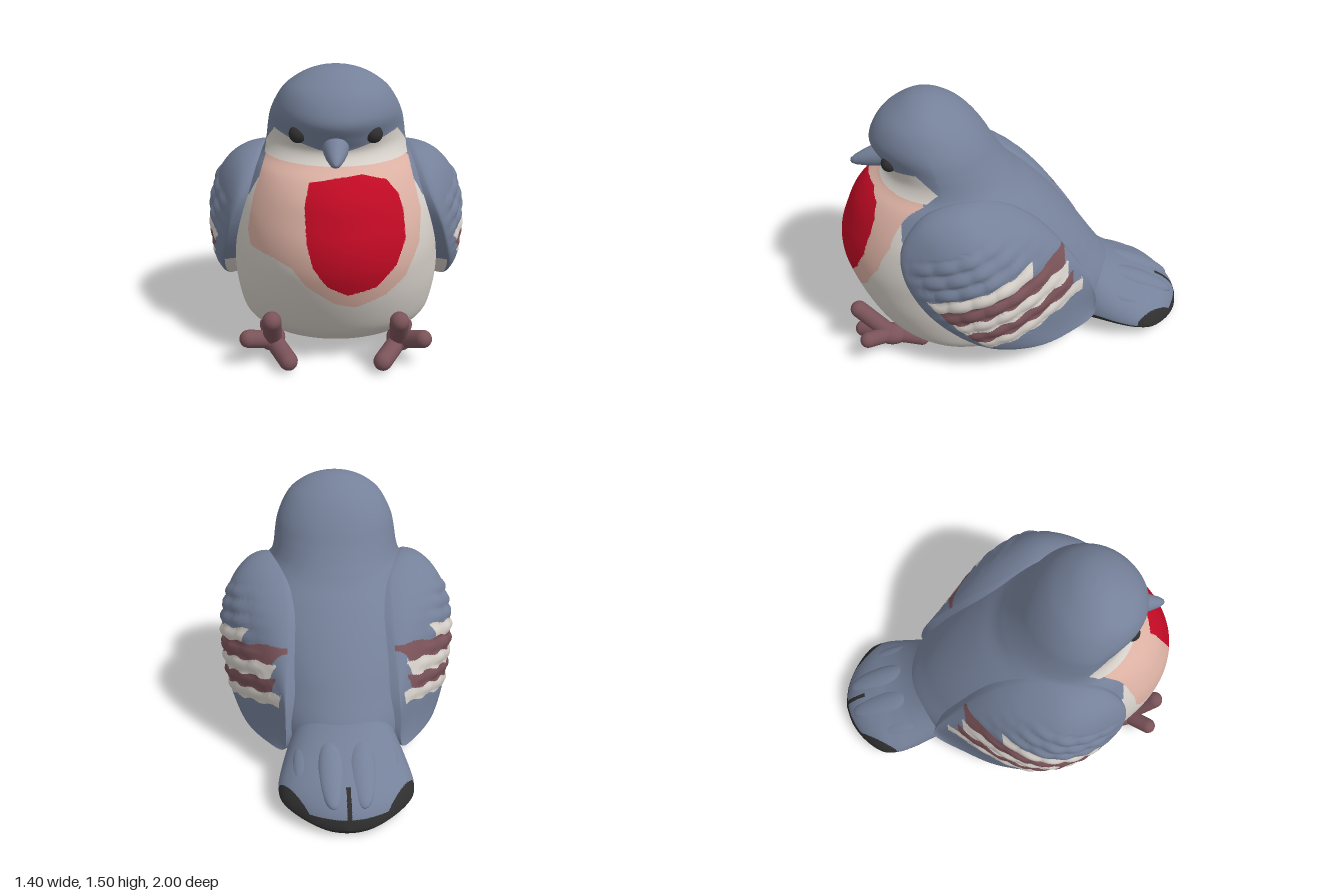
import * as THREE from 'three';

const paint = (name, color) => Object.assign(new THREE.MeshStandardMaterial({ color }), { name });
const [GREY, CREAM, PINK, RED, BROWN, BLACK] = [0, 1, 2, 3, 4, 5];
const PALETTE = [
  paint('slateBlue', 0x75819a), paint('cream', 0xd6d0c9), paint('palePink', 0xdbb0a3),
  paint('crimson', 0xc00a24), paint('plumBrown', 0x7a5359), paint('charcoal', 0x2f2f30),
];

// Smooth interpolation through the rows of a small table, t from 0 to 1
const spline = (a, b, c, d, t) =>
  b + 0.5 * t * (c - a + t * (2 * a - 5 * b + 4 * c - d + t * (3 * (b - c) + d - a)));
function sample(table, t) {
  const n = table.length - 1, f = t * n, i = Math.min(Math.floor(f), n - 1);
  const at = (k) => table[Math.max(0, Math.min(n, k))];
  return table[0].map((_, k) => spline(at(i - 1)[k], at(i)[k], at(i + 1)[k], at(i + 2)[k], f - i));
}

// Point in polygon test for painted patches
function inside(poly, x, y) {
  let hit = false;
  poly.forEach(([ax, ay], i) => {
    const [bx, by] = poly[(i + 1) % poly.length];
    if ((ay > y) !== (by > y) && x < ax + ((y - ay) * (bx - ax)) / (by - ay)) hit = !hit;
  });
  return hit;
}

// Loft of closed rings; colourAt(point, v, u) picks the material, and triangles
// on a colour border are split finer so that painted edges stay crisp
function loft(name, rows, cols, pointAt, colourAt, flip = false) {
  const pos = [], index = [], lists = PALETTE.map(() => []);
  for (let i = 0; i <= rows; i++)
    for (let j = 0; j < cols; j++) pos.push(...pointAt(i / rows, j / cols));
  for (let i = 0; i < rows; i++) {
    for (let j = 0; j < cols; j++) {
      const a = i * cols + j, b = i * cols + ((j + 1) % cols), c = a + cols, d = b + cols;
      index.push(...(flip ? [c, a, d, d, a, b] : [a, c, d, a, d, b]));
    }
  }
  const geo = new THREE.BufferGeometry();
  geo.setAttribute('position', new THREE.Float32BufferAttribute(pos, 3));
  geo.setIndex(index);
  geo.computeVertexNormals();
  const nor = Array.from(geo.attributes.normal.array);
  const vertex = (k) => new THREE.Vector3().fromArray(pos, k * 3);
  const middle = (p, q) => {
    for (const list of [pos, nor])
      for (let k = 0; k < 3; k++) list.push((list[p * 3 + k] + list[q * 3 + k]) / 2);
    return pos.length / 3 - 1;
  };
  const place = (a, b, c, v, u, depth) => {
    const first = colourAt(vertex(a), v, u);
    const mixed = [b, c].some((k) => colourAt(vertex(k), v, u) !== first);
    if (mixed && depth > 0) {
      const ab = middle(a, b), bc = middle(b, c), ca = middle(c, a);
      [[a, ab, ca], [ab, b, bc], [ca, bc, c], [ab, bc, ca]].forEach((t) => place(...t, v, u, depth - 1));
    } else {
      const centre = vertex(a).add(vertex(b)).add(vertex(c)).divideScalar(3);
      lists[colourAt(centre, v, u)].push(a, b, c);
    }
  };
  for (let k = 0; k < index.length; k += 3) {
    const quad = Math.floor(k / 6);
    const v = (Math.floor(quad / cols) + 0.5) / rows, u = ((quad % cols) + 0.5) / cols;
    place(index[k], index[k + 1], index[k + 2], v, u, 2);
  }
  geo.setAttribute('position', new THREE.Float32BufferAttribute(pos, 3));
  geo.setAttribute('normal', new THREE.Float32BufferAttribute(nor, 3));
  geo.setIndex(lists.flat());
  let start = 0;
  lists.forEach((list, m) => {
    if (list.length) geo.addGroup(start, list.length, m);
    start += list.length;
  });
  const mesh = new THREE.Mesh(geo, PALETTE);
  mesh.name = name;
  return mesh;
}

// Body and head: height, front z, back z, half width, z of the widest point
const BODY = [
  [0, 0.3, 0.3, 0, 0.3], [0.004, 0.5, 0.1, 0.25, 0.3], [0.02, 0.58, -0.1, 0.36, 0.3],
  [0.06, 0.68, -0.42, 0.43, 0.3], [0.12, 0.77, -0.55, 0.49, 0.32], [0.2, 0.85, -0.6, 0.52, 0.34],
  [0.35, 0.93, -0.57, 0.545, 0.35], [0.5, 0.985, -0.47, 0.55, 0.35], [0.6, 1, -0.4, 0.55, 0.35],
  [0.7, 0.99, -0.32, 0.54, 0.35], [0.8, 0.955, -0.23, 0.52, 0.35], [0.9, 0.91, -0.13, 0.475, 0.36],
  [0.98, 0.84, -0.04, 0.43, 0.38], [1.04, 0.75, 0.01, 0.385, 0.39], [1.1, 0.715, 0.055, 0.365, 0.4],
  [1.17, 0.75, 0.1, 0.355, 0.42], [1.25, 0.79, 0.145, 0.34, 0.44], [1.33, 0.765, 0.2, 0.305, 0.46],
  [1.4, 0.71, 0.265, 0.255, 0.48], [1.46, 0.62, 0.35, 0.17, 0.49], [1.49, 0.555, 0.42, 0.085, 0.49],
  [1.5, 0.49, 0.49, 0, 0.49],
];
const PINK_PATCH = [
  [-0.36, 1.045], [-0.42, 0.85], [-0.445, 0.7], [-0.43, 0.63], [-0.3, 0.615], [-0.21, 0.58], [-0.15, 0.5],
  [0, 0.39], [0.1, 0.365], [0.25, 0.42], [0.35, 0.5], [0.42, 0.65], [0.43, 0.8], [0.37, 1.045],
];
const RED_PATCH = [
  [-0.13, 0.98], [0, 1], [0.13, 1.01], [0.25, 0.98], [0.31, 0.91], [0.335, 0.83], [0.345, 0.7], [0.3, 0.58],
  [0.2, 0.48], [0.06, 0.445], [-0.04, 0.5], [-0.11, 0.6], [-0.14, 0.72], [-0.15, 0.88],
];
function bodyPoint(v, u) {
  const [y, front, back, w, zc] = sample(BODY, v), a = u * Math.PI * 2, s = Math.sin(a);
  const face = 1 + 0.45 * Math.exp(-(((y - 1.18) / 0.1) ** 2)); // narrows the face towards the beak
  return [w * Math.cos(a), y, zc + (s > 0 ? s ** face * (front - zc) : s * (zc - back))];
}
function bodyColour({ x, y, z }) {
  const ax = Math.abs(x);
  if (y > 1.04) {
    const cheek = y < 1.09 + 0.3 * ax && z > 0.42 + 1.2 * Math.abs(y - 1.09);
    return cheek ? CREAM : GREY;
  }
  if (z > 0.45 && inside(RED_PATCH, x, y)) return RED;
  if (z > 0.5 && inside(PINK_PATCH, x, y)) return PINK;
  if (z < 0.62 && y > 0.85) return GREY;
  return z < -0.1 && y > 0.24 ? GREY : CREAM;
}

// Tail fan: z, half width, top, rim height, bottom
const TAIL = [
  [-0.2, 0.27, 0.74, 0.3, 0.1], [-0.4, 0.3, 0.57, 0.18, 0.06], [-0.5, 0.33, 0.44, 0.155, 0.05],
  [-0.6, 0.355, 0.35, 0.13, 0.045], [-0.7, 0.367, 0.29, 0.11, 0.035], [-0.8, 0.345, 0.245, 0.09, 0.025],
  [-0.9, 0.25, 0.19, 0.065, 0.015], [-0.97, 0.13, 0.12, 0.045, 0.006], [-1, 0, 0.04, 0.04, 0.04],
];
function tailPoint(v, u) {
  const [z, w, top, rim, bottom] = sample(TAIL, v), a = u * Math.PI * 2, s = Math.sin(a);
  return [w * Math.cos(a), rim + (s > 0 ? s ** 1.2 * (top - rim) : s * (rim - bottom)), z];
}
function tailColour({ x, y, z }, v, u) {
  const side = Math.abs(Math.cos(u * Math.PI * 2)), ax = Math.abs(x);
  if (u < 0.5) {
    const corner = z < -0.71 && ax > 0.36 + (z + 0.71) * 0.73 && z > -0.93;
    const notch = z < -0.86 && ax < 0.012;
    const underLayer = z < -0.42 && y < Math.max(0.095, 0.17 + 0.2 * (z + 0.4));
    return corner || notch || underLayer ? BLACK : GREY;
  }
  if (z < -0.955 || (z < -0.42 && side > (z < -0.6 ? 0.82 : 0.9))) return BLACK;
  return z > -0.62 ? CREAM : GREY;
}

// Wing outline as z, y and the x of the rim, running top, front, bottom, back
const WING = new THREE.CatmullRomCurve3([
  [0.3, 1.05, 0.38], [0.5, 1, 0.42], [0.62, 0.85, 0.48], [0.62, 0.7, 0.54], [0.52, 0.5, 0.59],
  [0.35, 0.33, 0.61], [0.15, 0.21, 0.6], [-0.1, 0.16, 0.55], [-0.3, 0.145, 0.43], [-0.45, 0.19, 0.33],
  [-0.43, 0.4, 0.32], [-0.28, 0.66, 0.3], [-0.1, 0.87, 0.29], [0.1, 1, 0.31],
].map((p) => new THREE.Vector3(...p)), true);
const FACE = 0.85; // share of the loft on the outer face; the rest tucks under
// Feather bands: lower limit, upper limit, rear end, colour
const BANDS = [
  [0.65, 0.73, -0.07, CREAM], [0.55, 0.65, -0.26, BROWN], [0.46, 0.55, -0.28, CREAM],
  [0.375, 0.46, -0.31, BROWN], [0.3, 0.375, -0.37, CREAM],
];
function wingPoint(v, u, side) {
  const rim = WING.getPoint(u), under = Math.max(0, v - FACE) / (1 - FACE);
  const r = under > 0 ? 1 - 0.1 * under : Math.sin((v / FACE) * Math.PI / 2);
  const z = 0.15 + (rim.x - 0.15) * r, y = 0.6 + (rim.y - 0.6) * r;
  let x = rim.z - 0.15 * under;
  if (under === 0) {
    const dome = Math.max(0, 1 - r * r);
    const reach = 0.695 - 0.72 * (z - 0.28) ** 2; // widest near the shoulder, tapering to the tail
    x += Math.max(0, reach - rim.z) * dome ** 0.45;
    // Scalloped feather rows
    const row = (y + 0.3 * z - 0.3) / 0.085, k = Math.floor(row);
    const scallop = Math.abs(Math.sin((z / 0.13 + k * 0.5) * Math.PI));
    if (row > 0 && row < 8)
      x += Math.min(1, dome * 2) * (0.02 * Math.sin(Math.PI * (row - k)) ** 0.8 * (0.4 + 0.6 * scallop) - 0.008);
  }
  return [side * x, y, z];
}
function wingColour({ y, z }, v) {
  if (v > FACE) return y < 0.42 && z > -0.3 ? CREAM : GREY;
  if (z > 0.2 + (y - 0.27) * 0.95) return GREY;
  const s = y + 0.3 * z + 0.008 * Math.sin(z * 45);
  const band = BANDS.find(([lo, hi, end]) => s >= lo && s < hi && z > end);
  return band ? band[3] : GREY;
}

// Rounded ellipsoid
function blob(name, mat, at, size, tilt = 0) {
  const mesh = new THREE.Mesh(new THREE.SphereGeometry(1, 28, 20), PALETTE[mat]);
  mesh.name = name;
  mesh.position.set(...at);
  mesh.scale.set(...size);
  mesh.rotation.x = tilt;
  return mesh;
}

// Rounded toe between two points
function toe(name, from, to, radius) {
  const a = new THREE.Vector3(...from), b = new THREE.Vector3(...to), dir = b.clone().sub(a);
  const mesh = new THREE.Mesh(new THREE.CapsuleGeometry(radius, dir.length(), 8, 18), PALETTE[BROWN]);
  mesh.name = name;
  mesh.position.copy(a).add(b).multiplyScalar(0.5);
  mesh.quaternion.setFromUnitVectors(new THREE.Vector3(0, 1, 0), dir.normalize());
  return mesh;
}

export function createModel() {
  const bird = new THREE.Group();
  bird.name = 'bird';
  bird.add(loft('bodyAndHead', 110, 130, bodyPoint, bodyColour));
  bird.add(loft('tail', 50, 72, tailPoint, tailColour));

  // Beak
  const profile = [[0.066, 0], [0.062, 0.05], [0.048, 0.11], [0.029, 0.17], [0.014, 0.195], [0, 0.202]];
  const beak = new THREE.Mesh(
    new THREE.LatheGeometry(profile.map((p) => new THREE.Vector2(...p)), 28), PALETTE[GREY]);
  beak.name = 'beak';
  beak.position.set(0, 1.135, 0.71);
  beak.rotation.x = Math.PI / 2 + 0.22;
  bird.add(beak);

  // Mirrored parts
  for (const [label, s] of [['left', 1], ['right', -1]]) {
    bird.add(loft(label + 'Wing', 72, 110, (v, u) => wingPoint(v, u, s), wingColour, s < 0));
    bird.add(blob(label + 'Eye', BLACK, [s * 0.187, 1.188, 0.676], [0.046, 0.046, 0.044]));
    bird.add(blob(label + 'InnerTailFeather', GREY, [s * 0.08, 0.237, -0.74], [0.075, 0.045, 0.23], -0.44));
    bird.add(blob(label + 'OuterTailFeather', GREY, [s * 0.21, 0.205, -0.67], [0.08, 0.05, 0.22], -0.42));

    const foot = new THREE.Group(), heel = [s * 0.33, 0.09, 0.74];
    foot.name = label + 'Foot';
    foot.add(
      blob('heel', BROWN, [s * 0.335, 0.095, 0.73], [0.07, 0.06, 0.09]),
      toe('middleToe', heel, [s * 0.32, 0.28, 0.91], 0.049),
      toe('outerToe', heel, [s * 0.445, 0.155, 0.86], 0.046),
      toe('innerToe', heel, [s * 0.24, 0.055, 0.91], 0.048),
      toe('backToe', heel, [s * 0.37, 0.085, 0.56], 0.043),
    );
    bird.add(foot);
  }
  return bird;
}
